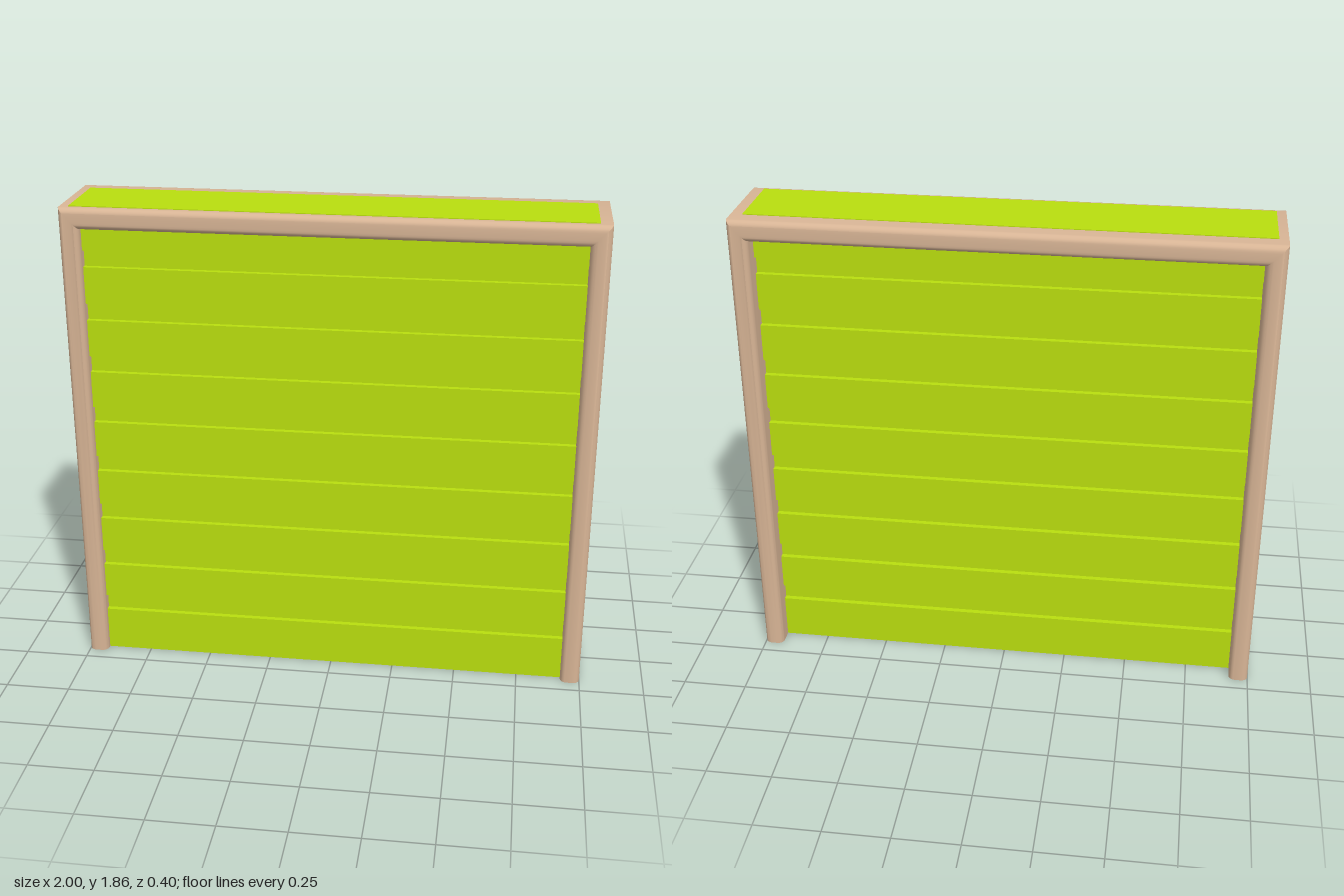
import * as THREE from 'three';
import { toCreasedNormals } from 'three/addons/utils/BufferGeometryUtils.js';

const HEIGHT = 1.858, HALF_WIDTH = 1, HALF_DEPTH = 0.198;
const JAMB = 0.075, HEADER = 0.08, ROUND = 0.025;

// Rounded rectangle cross-section: t = 0 (outer) to 1 (inner) across, z in depth
function frameProfile() {
  const points = [];
  const corners = [[1, 1, 0], [-1, 1, 1], [-1, -1, 2], [1, -1, 3]];
  for (const [sx, sz, quarter] of corners) {
    for (let k = 0; k <= 5; k++) {
      const a = (quarter + k / 5) * Math.PI / 2;
      const across = sx * (JAMB / 2 - ROUND) + ROUND * Math.cos(a);
      const z = sz * (HALF_DEPTH - ROUND) + ROUND * Math.sin(a);
      points.push([across / JAMB + 0.5, z]);
    }
  }
  return points;
}

// Sweep the cross-section up one jamb, across the header and down the other, with mitred corners
function frameGeometry() {
  const profile = frameProfile(), n = profile.length;
  const stations = [[-1, 0], [-1, 1], [1, 1], [1, 0]];
  const positions = [], index = [];
  for (const [side, top] of stations) {
    for (const [t, z] of profile) {
      positions.push(side * (HALF_WIDTH - t * JAMB), top * (HEIGHT - t * HEADER), z);
    }
  }
  for (let s = 0; s < 3; s++) {
    for (let i = 0; i < n; i++) {
      const j = (i + 1) % n, a = s * n + i, b = s * n + j;
      index.push(a, a + n, b, b, a + n, b + n);
    }
  }
  // flat feet of both jambs
  for (let i = 1; i < n - 1; i++) {
    index.push(0, i, i + 1);
    index.push(3 * n, 3 * n + i + 1, 3 * n + i);
  }
  const geometry = new THREE.BufferGeometry();
  geometry.setAttribute('position', new THREE.Float32BufferAttribute(positions, 3));
  geometry.setIndex(index);
  return toCreasedNormals(geometry, 0.6);
}

// Door slab: side profile with horizontal grooves on both faces, extruded across the width
function doorGeometry() {
  const front = 0.162, back = -0.122, top = 1.861, groove = 0.02;
  const face = (z, inward) => {
    const points = [[z, 0]];
    for (let i = 0; i < 8; i++) {
      const low = 0.177 + i * 0.2075, high = low + 0.064;
      points.push([z, low], [z + inward, low], [z + inward, high], [z, high]);
    }
    points.push([z, top]);
    return points;
  };
  const outline = [...face(front, -groove), ...face(back, groove).reverse()];
  const shape = new THREE.Shape(outline.map(([z, y]) => new THREE.Vector2(z, y)));
  const geometry = new THREE.ExtrudeGeometry(shape, { depth: 1.92, bevelEnabled: false });
  geometry.rotateY(-Math.PI / 2);
  geometry.translate(0.955, 0, 0);
  return geometry;
}

export function createModel() {
  const model = new THREE.Group();
  model.name = 'garageDoor';
  const add = (name, geometry, color) => {
    const mesh = new THREE.Mesh(geometry, new THREE.MeshStandardMaterial({ color }));
    mesh.name = name;
    model.add(mesh);
  };
  add('doorFrame', frameGeometry(), 0xd7b495);
  add('groovedDoor', doorGeometry(), 0xb9de0f);
  return model;
}
